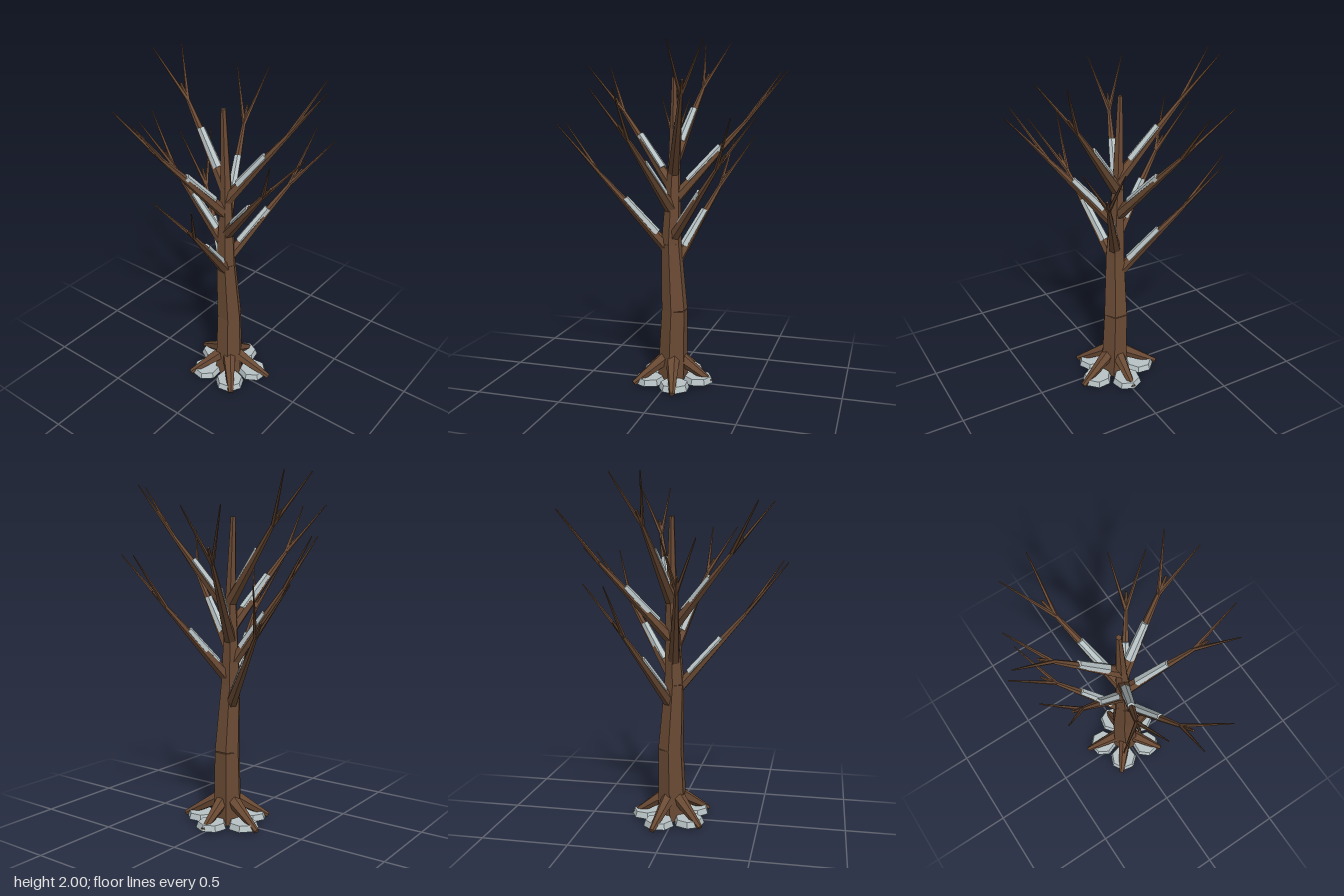
import * as THREE from 'three';

const bark = new THREE.MeshStandardMaterial({ color: 0x6a4a34, flatShading: true });
const snow = new THREE.MeshStandardMaterial({ color: 0xb8c3c5, flatShading: true });
const UP = new THREE.Vector3(0, 1, 0);
const V = (x, y, z) => new THREE.Vector3(x, y, z);

// Tapered faceted limb between two points
function limb(name, a, b, ra, rb, sides, material = bark) {
  const dir = b.clone().sub(a);
  const mesh = new THREE.Mesh(new THREE.CylinderGeometry(rb, ra, dir.length(), sides), material);
  mesh.position.copy(a).add(b).multiplyScalar(0.5);
  mesh.quaternion.setFromUnitVectors(UP, dir.normalize());
  mesh.name = name;
  return mesh;
}

// Trunk centre line with the radius at each joint: x, y, z, r
const trunkJoints = [
  [0.01, 0.008, 0, 0.09],
  [0.021, 0.44, -0.005, 0.078],
  [-0.002, 0.83, -0.013, 0.06],
  [0.012, 1.32, -0.024, 0.034],
  [0.008, 1.785, -0.037, 0.015],
];

// Point on the trunk centre line at height y
function trunkAt(y) {
  let i = 0;
  while (i < trunkJoints.length - 2 && trunkJoints[i + 1][1] < y) i++;
  const a = V(...trunkJoints[i].slice(0, 3)), b = V(...trunkJoints[i + 1].slice(0, 3));
  return a.clone().lerp(b, (y - a.y) / (b.y - a.y));
}

// Branches from low to high: base height, tip height, then x, z of both twig tips
const branches = [
  [0.69, 1.435, 0.253, -0.565, 0.40, -0.442],
  [0.775, 1.53, -0.637, 0.037, -0.60, 0.243],
  [0.85, 1.575, 0.434, 0.413, 0.53, 0.235],
  [0.94, 1.675, -0.03, -0.52, -0.20, -0.46],
  [1.02, 1.72, -0.298, 0.475, -0.134, 0.568],
  [1.08, 1.82, 0.566, -0.367, 0.631, -0.173],
  [1.155, 1.86, -0.498, -0.344, -0.566, -0.146],
  [1.24, 1.96, 0.128, 0.507, 0.291, 0.413],
  [1.31, 2.0, 0.056, -0.568, 0.233, -0.51],
];

function makeBranch([y0, y1, xa, za, xb, zb]) {
  const group = new THREE.Group();
  group.name = 'branch';
  const base = trunkAt(y0);
  const end = base.clone().lerp(V((xa + xb) / 2, y1, (za + zb) / 2), 0.77);
  end.y = y0 + 0.725 * (y1 - y0);
  group.add(limb('branchLimb', base, end, 0.037, 0.007, 6));

  // Twigs fork shortly before the end of the limb
  const fork = base.clone().lerp(end, 0.84);
  for (const [x, z] of [[xa, za], [xb, zb]]) {
    group.add(limb('twig', fork, V(x, y1, z), 0.012, 0.003, 5));
  }

  // Snow resting on the upper side of the limb
  const dir = end.clone().sub(base).normalize();
  const lift = UP.clone().addScaledVector(dir, -dir.y).normalize().multiplyScalar(0.011);
  const s0 = base.clone().lerp(end, 0.2).add(lift);
  const s1 = base.clone().lerp(end, 0.57).add(lift);
  group.add(limb('branchSnow', s0, s1, 0.028, 0.022, 6, snow));
  return group;
}

export function createModel() {
  const tree = new THREE.Group();
  tree.name = 'bareTree';

  // Trunk sections
  for (let i = 0; i < trunkJoints.length - 1; i++) {
    const [a, b] = [trunkJoints[i], trunkJoints[i + 1]];
    tree.add(limb('trunkSection', V(...a.slice(0, 3)), V(...b.slice(0, 3)), a[3], b[3], 6));
  }

  // Five roots, each with a flat snow patch beneath
  for (let i = 0; i < 5; i++) {
    const t = (i / 5) * Math.PI * 2, c = Math.cos(t), s = Math.sin(t);
    tree.add(limb('root', V(0.01 + 0.035 * c, 0.155, 0.035 * s),
      V(0.01 + 0.235 * c, 0.022, 0.27 * s), 0.044, 0.016, 6));
    const patch = new THREE.Mesh(new THREE.CylinderGeometry(0.078, 0.09, 0.034, 7), snow);
    patch.name = 'groundSnow';
    patch.position.set(0.017 + 0.15 * c, 0.034, 0.157 * s);
    patch.rotation.y = Math.PI / 2 - t;
    tree.add(patch);
  }

  for (const data of branches) tree.add(makeBranch(data));
  return tree;
}
